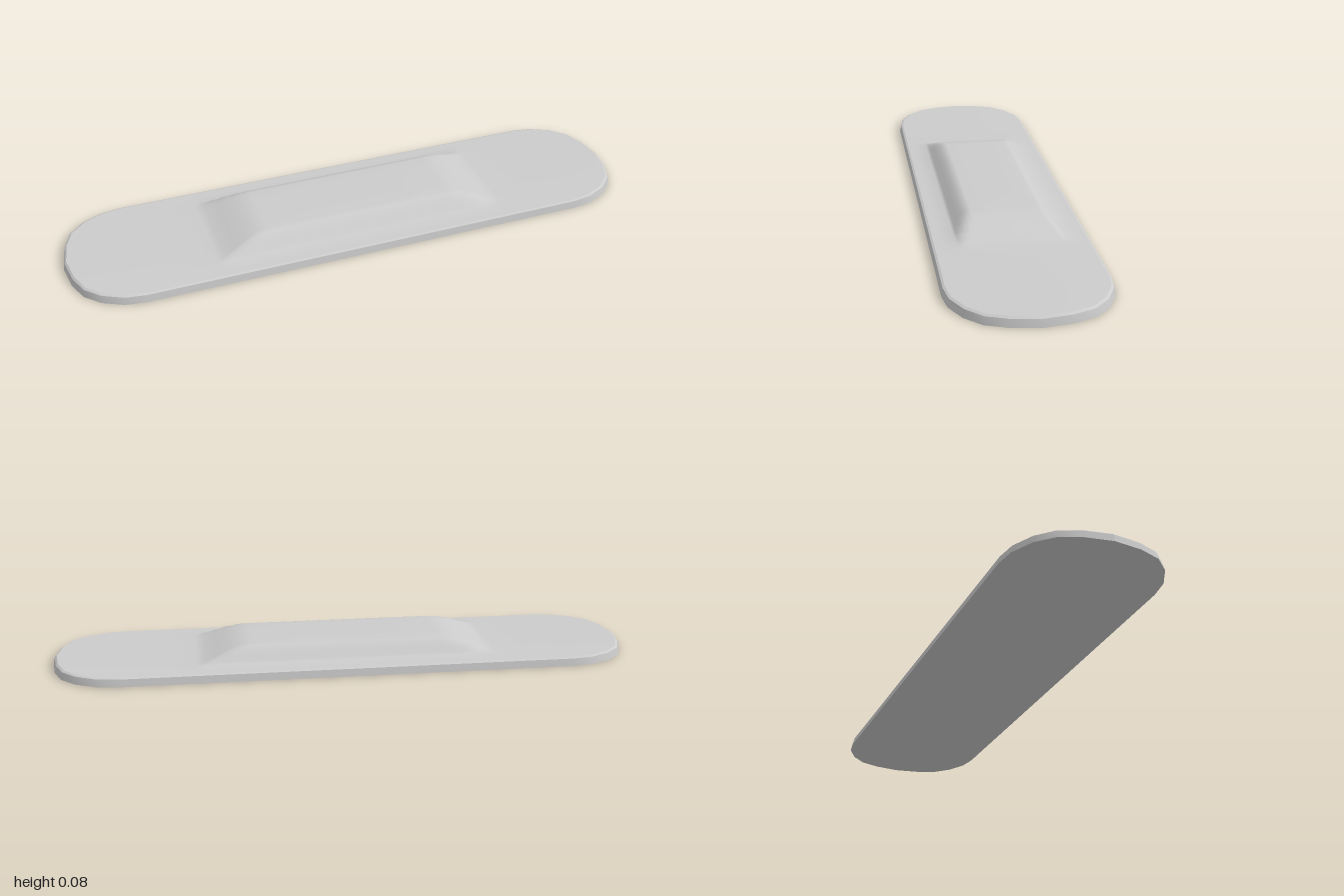
import * as THREE from 'three';

// Right half of the plan outline beyond the straight sides: [x, half width]
const END = [[0.77, 0.255], [0.84, 0.245], [0.91, 0.21], [0.96, 0.16], [0.987, 0.09], [1, 0]];
// Pad slope: [distance up the slope, share of the pad height]
const SLOPE = [[0, 0], [0.14, 0.06], [0.35, 0.33], [0.57, 0.65], [0.79, 0.89], [1, 1]];
const HALF_WIDTH = 0.255;

function slopeHeight(t) {
  if (t <= 0) return 0;
  for (let i = 1; i < SLOPE.length; i++) {
    const [t0, h0] = SLOPE[i - 1], [t1, h1] = SLOPE[i];
    if (t <= t1) return h0 + (h1 - h0) * (t - t0) / (t1 - t0);
  }
  return 1;
}

// Height of the strip with its slight crown, plus the raised pad
function topHeight(x, z) {
  const t = Math.min((0.52 - Math.abs(x)) / 0.19, (0.185 - Math.abs(z)) / 0.07);
  return 0.028 + 0.003 * (1 - (z / 0.25) ** 2) + 0.052 * slopeHeight(t);
}

const mirrored = (half) => [...half.map((v) => -v), 0, ...half.slice().reverse()];

// Surface from rows of points, wound so that row x column faces outward
function loft(rows) {
  const n = rows[0].length, index = [];
  for (let i = 0; i < rows.length - 1; i++) {
    for (let j = 0; j < n - 1; j++) {
      const a = i * n + j, b = a + 1, c = a + n, d = c + 1;
      index.push(a, b, c, b, d, c);
    }
  }
  const geometry = new THREE.BufferGeometry();
  geometry.setAttribute('position', new THREE.Float32BufferAttribute(rows.flat(2), 3));
  geometry.setIndex(index);
  geometry.computeVertexNormals();
  return geometry;
}

export function createModel() {
  const group = new THREE.Group();
  group.name = 'adhesiveBandage';
  const material = new THREE.MeshStandardMaterial({ color: 0xcccccc, side: THREE.DoubleSide });
  const add = (name, geometry) => {
    const mesh = new THREE.Mesh(geometry, material);
    mesh.name = name;
    group.add(mesh);
  };

  // Stations along the strip and across it
  const slopeX = SLOPE.map(([t]) => 0.52 - 0.19 * t);
  const slopeZ = SLOPE.map(([t]) => 0.185 - 0.07 * t);
  const xs = mirrored([...END.map(([x]) => x).reverse(), 0.62, ...slopeX, 0.16]);
  const zs = mirrored([HALF_WIDTH, 0.225, ...slopeZ, 0.06]);
  const widthAt = (x) => {
    const point = END.find(([ex]) => Math.abs(Math.abs(x) - ex) < 1e-6);
    return point ? point[1] : HALF_WIDTH;
  };

  // Top skin with the raised pad
  const inset = 0.012;
  const insetX = 1 - inset, insetZ = 1 - inset / HALF_WIDTH;
  add('stripTopWithPad', loft(xs.map((x) => zs.map((z) => {
    const px = x * insetX;
    const pz = z * widthAt(x) / HALF_WIDTH * insetZ;
    return [px, topHeight(px, pz), pz];
  }))));

  // Closed plan outline: front edge left to right, back edge right to left
  const outline = [
    ...xs.map((x) => [x, widthAt(x)]),
    ...xs.slice(0, -1).reverse().map((x) => [x, -widthAt(x)]),
  ];
  const ring = (offset, height) => outline.map(([x, z]) => {
    const px = x * (1 - offset), pz = z * (1 - offset / HALF_WIDTH);
    return [px, height ?? topHeight(px, pz), pz];
  });

  // Leaning edge wall and narrow bevel
  add('edgeWall', loft([ring(0, 0), ring(0.005, 0.025)]));
  add('edgeBevel', loft([ring(0.005, 0.025), ring(inset)]));

  // Flat underside
  const shape = new THREE.Shape(outline.slice(0, -1).map(([x, z]) => new THREE.Vector2(x, z)));
  add('underside', new THREE.ShapeGeometry(shape).rotateX(Math.PI / 2));
  return group;
}
